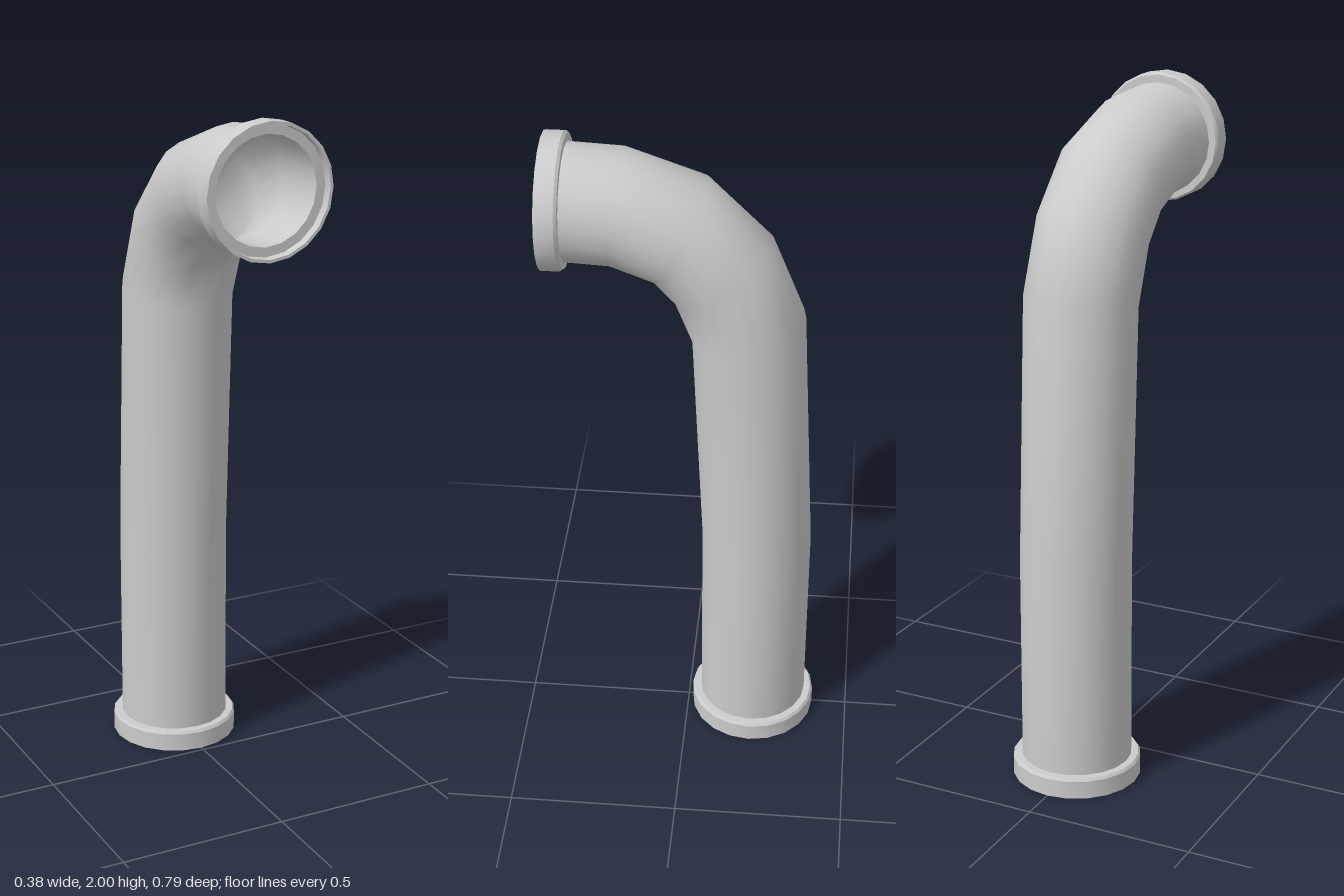
import * as THREE from 'three';
import { toCreasedNormals } from 'three/addons/utils/BufferGeometryUtils.js';

const SIDES = 20;
const OUTER = 0.163, INNER = 0.152;
const RIM_Z = 0.395, BASE_Z = -0.203, TOP_Y = 1.81;

// Ring centres along the bend (z, y) and the tilt of each ring, in degrees
const RINGS = [
  [BASE_Z, 0.025, 0],
  [BASE_Z, 0.68, 1.5],
  [-0.166, 1.435, 13],
  [-0.095, 1.615, 33],
  [0.025, 1.74, 61],
  [0.195, 1.802, 84],
  [RIM_Z - 0.025, TOP_Y, 90],
];

// Round tube skinned over the rings; inward flips it to face the bore
function tube(radius, inward) {
  const pos = [], index = [];
  RINGS.forEach(([z, y, deg], i) => {
    const t = THREE.MathUtils.degToRad(deg);
    for (let j = 0; j < SIDES; j++) {
      const a = (j / SIDES) * Math.PI * 2;
      const out = radius * Math.cos(a);
      pos.push(radius * Math.sin(a), y + out * Math.sin(t), z - out * Math.cos(t));
      if (i === RINGS.length - 1) continue;
      const k = (j + 1) % SIDES;
      const p = i * SIDES + j, q = i * SIDES + k, r = p + SIDES, s = q + SIDES;
      if (inward) index.push(p, q, r, q, s, r);
      else index.push(p, r, q, q, r, s);
    }
  });
  const geo = new THREE.BufferGeometry();
  geo.setAttribute('position', new THREE.Float32BufferAttribute(pos, 3));
  geo.setIndex(index);
  geo.computeVertexNormals();
  return geo;
}

// Recessed collar: bore edge, recess floor and wall, lip, side, bevel, back
function collar() {
  const profile = [
    [INNER, 0.025], [0.179, 0.025], [0.181, 0], [0.19, 0],
    [0.19, 0.054], [0.184, 0.062], [OUTER - 0.005, 0.062],
  ].map(([r, y]) => new THREE.Vector2(r, y));
  return toCreasedNormals(new THREE.LatheGeometry(profile, SIDES), 0.5);
}

export function createModel() {
  const group = new THREE.Group();
  const material = new THREE.MeshStandardMaterial({ color: 0xcccccc });
  const add = (name, geo) => {
    const mesh = new THREE.Mesh(geo, material);
    mesh.name = name;
    group.add(mesh);
    return mesh;
  };

  // Bent pipe wall
  add('pipeOuterWall', tube(OUTER, false));
  add('pipeInnerWall', tube(INNER, true));

  // Collars at both open ends
  add('baseCollar', collar()).position.set(0, 0, BASE_Z);
  const front = add('frontCollar', collar());
  front.rotation.x = -Math.PI / 2;
  front.position.set(0, TOP_Y, RIM_Z);

  return group;
}
